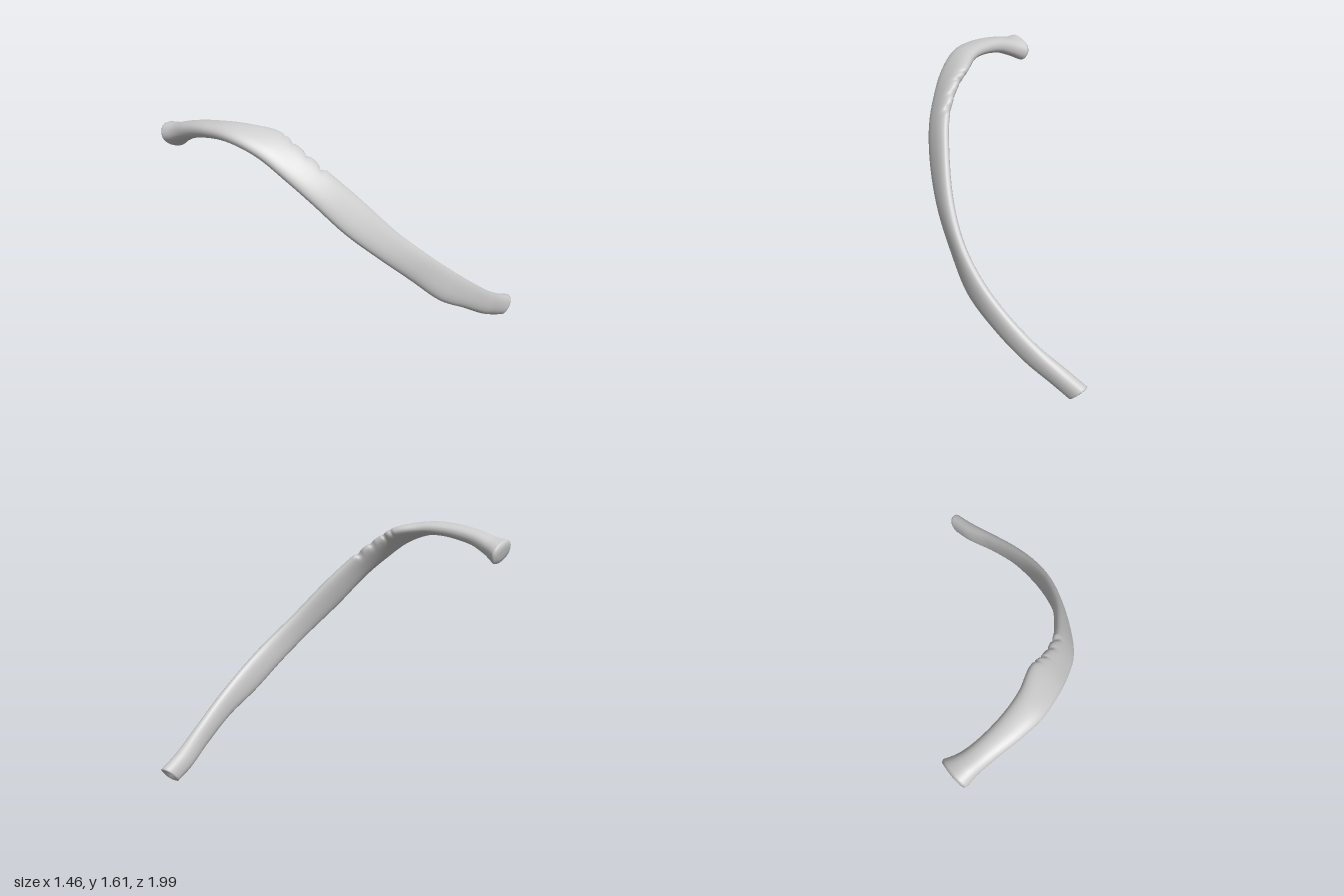
import * as THREE from 'three';

// Stations along the bone: upper edge (x,y,z), lower edge (x,y,z), half thickness
const STATIONS = [
  [0.555, 0.125, -0.985, 0.570, 0.010, -0.880, 0.050],
  [0.585, 0.190, -0.840, 0.590, 0.060, -0.760, 0.050],
  [0.635, 0.300, -0.640, 0.648, 0.160, -0.560, 0.042],
  [0.675, 0.450, -0.410, 0.682, 0.300, -0.320, 0.040],
  [0.683, 0.600, -0.200, 0.670, 0.435, -0.080, 0.040],
  [0.650, 0.760, 0.000, 0.608, 0.630, 0.140, 0.038],
  [0.555, 0.950, 0.200, 0.535, 0.810, 0.340, 0.039],
  [0.405, 1.200, 0.400, 0.430, 1.000, 0.530, 0.040],
  [0.275, 1.365, 0.530, 0.310, 1.200, 0.680, 0.040],
  [0.120, 1.500, 0.615, 0.190, 1.340, 0.775, 0.043],
  [0.000, 1.565, 0.645, 0.050, 1.470, 0.860, 0.045],
  [-0.150, 1.585, 0.735, -0.130, 1.555, 0.938, 0.047],
  [-0.300, 1.575, 0.790, -0.300, 1.565, 0.965, 0.048],
  [-0.500, 1.535, 0.825, -0.500, 1.535, 0.975, 0.053],
  [-0.620, 1.480, 0.820, -0.620, 1.505, 0.983, 0.062],
  [-0.700, 1.430, 0.795, -0.700, 1.500, 0.998, 0.075],
];
const RINGS = 180, SIDES = 28;

// Small chips in the upper edge: station position, half length, depth as share of width
const CHIPS = [[8.15, 0.14, 0.13], [8.65, 0.12, 0.10], [9.25, 0.16, 0.07], [9.7, 0.12, 0.05]];

function createShaftGeometry() {
  const last = STATIONS.length - 1;
  const edge = (k) => new THREE.CatmullRomCurve3(STATIONS.map((s) => new THREE.Vector3(s[k], s[k + 1], s[k + 2])));
  const upper = edge(0), lower = edge(3);
  const middle = (u) => upper.getPoint(u).add(lower.getPoint(u)).multiplyScalar(0.5);
  const positions = [];

  // One oval cross-section, optionally shrunk and pushed along the bone for the ends
  const addRing = (u, scale = 1, push = 0) => {
    const s = u * last, i = Math.min(Math.floor(s), last - 1);
    const thick = THREE.MathUtils.lerp(STATIONS[i][6], STATIONS[i + 1][6], s - i);
    const centre = middle(u);
    const tangent = middle(Math.min(u + 0.005, 1)).sub(middle(Math.max(u - 0.005, 0))).normalize();
    const half = upper.getPoint(u).sub(lower.getPoint(u)).multiplyScalar(0.5);
    const normal = tangent.clone().cross(half).normalize();
    let chip = 0;
    for (const [at, len, depth] of CHIPS) chip += depth * Math.max(0, 1 - Math.abs(s - at) / len);
    for (let j = 0; j < SIDES; j++) {
      const a = (j / SIDES) * Math.PI * 2, c = Math.cos(a), n = Math.sin(a);
      const w = Math.sign(c) * Math.abs(c) ** 0.88 * (c > 0 ? 1 - 2 * chip * c * c : 1);
      const t = Math.sign(n) * Math.abs(n) ** 0.88 * thick;
      const p = centre.clone().addScaledVector(half, w * scale)
        .addScaledVector(normal, t * scale).addScaledVector(tangent, push);
      positions.push(p.x, p.y, p.z);
    }
  };

  // Dished rear end, shaft, gently domed front end
  addRing(0, 0, 0.025);
  addRing(0, 0.45, 0.015);
  addRing(0, 0.85, -0.004);
  for (let i = 0; i <= RINGS; i++) addRing(i / RINGS);
  addRing(1, 0.9, 0.015);
  addRing(1, 0.5, 0.021);
  addRing(1, 0, 0.02);

  const index = [], rows = positions.length / 3 / SIDES;
  for (let i = 0; i < rows - 1; i++) {
    for (let j = 0; j < SIDES; j++) {
      const k = (j + 1) % SIDES;
      const a = i * SIDES + j, b = i * SIDES + k, c = b + SIDES, d = a + SIDES;
      index.push(a, b, c, a, c, d);
    }
  }
  const geometry = new THREE.BufferGeometry();
  geometry.setAttribute('position', new THREE.Float32BufferAttribute(positions, 3));
  geometry.setIndex(index);
  geometry.computeVertexNormals();
  return geometry;
}

export function createModel() {
  const group = new THREE.Group();
  group.name = 'ribBone';
  const bone = new THREE.MeshStandardMaterial({ color: 0xcccccc });
  bone.name = 'bone grey';
  const shaft = new THREE.Mesh(createShaftGeometry(), bone);
  shaft.name = 'ribShaft';
  group.add(shaft);
  return group;
}
